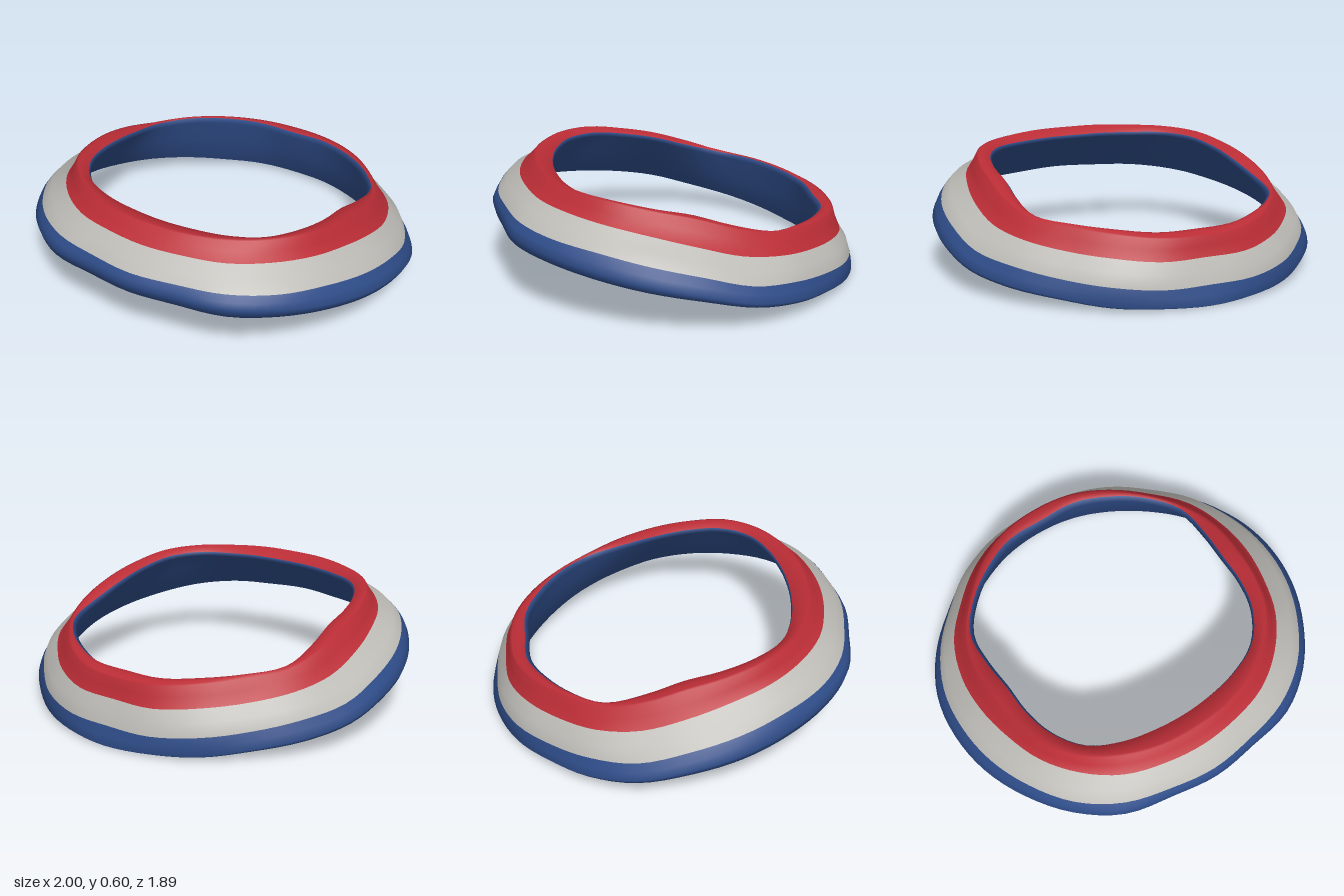
import * as THREE from 'three';

const SEGMENTS = 96;

// Values every 15 degrees, from the front (+z) round to the back (-z); both sides mirror.
const plan = {
  hem:    [.94, .94, .985, .995, .993, .998, 1.0, 1.0, .98, .955, .95, .95, .95],
  lower:  [.91, .91, .94, .955, .95, .95, .95, .955, .945, .93, .94, .935, .92],
  upper:  [.795, .80, .82, .825, .825, .815, .825, .845, .86, .855, .87, .88, .865],
  crest:  [.72, .73, .745, .765, .77, .755, .75, .775, .795, .80, .82, .84, .84],
  inner:  [.62, .63, .66, .695, .69, .665, .65, .685, .745, .75, .75, .755, .735],
};
const height = {
  hem:    [.335, .33, .32, .30, .265, .225, .18, .12, .08, .05, .02, .01, .002],
  lower:  [.435, .435, .425, .41, .385, .34, .285, .215, .18, .145, .12, .10, .10],
  upper:  [.525, .525, .515, .50, .475, .435, .385, .325, .29, .26, .24, .22, .22],
  crest:  [.60, .60, .595, .59, .575, .54, .50, .44, .385, .365, .345, .325, .32],
};

// Smooth lookup in a mirrored table; t runs 0 (front) to 12 (back)
function sample(table, t) {
  const at = (i) => table[i < 0 ? -i : i > 12 ? 24 - i : i];
  const i = Math.min(Math.floor(t), 11), f = t - i;
  const [a, b, c, d] = [at(i - 1), at(i), at(i + 1), at(i + 2)];
  return b + 0.5 * f * (c - a + f * (2 * a - 5 * b + 4 * c - d + f * (3 * (b - c) + d - a)));
}

// Closed cross-section [radius, y] at one angle, running up the outside and down the inside
function section(angle) {
  const t = 12 - Math.abs(12 - angle / (Math.PI / 12));
  const r = {}, y = {};
  for (const k in plan) r[k] = sample(plan[k], t);
  for (const k in height) y[k] = sample(height[k], t);
  const front = (1 + Math.cos(angle)) / 2, back = 1 - front;
  const lip = 0.045 * front + 0.006;
  const bulge = 0.008 + 0.012 * Math.sin(angle) ** 2;
  // The top edge tips inward at the front and rises inward at the back
  const rimR = r.inner + 0.004 + 0.02 * back;
  const rimY = y.crest - 0.035 * front + 0.014 * back;
  return [
    [r.hem * 0.875, y.hem + 0.02],
    [r.hem * 0.93, y.hem + 0.004],
    [r.hem - 0.012, y.hem],
    [r.hem, y.hem + lip],
    [r.lower * 0.4 + r.hem * 0.6, y.lower * 0.5 + (y.hem + lip) * 0.5],
    [r.lower, y.lower],
    [(r.lower + r.upper) / 2 + bulge, (y.lower + y.upper) / 2 + 0.005],
    [r.upper, y.upper],
    [(r.upper + r.crest) / 2 - 0.004, (y.upper + y.crest) / 2],
    [r.crest, y.crest - 0.003],
    [r.crest - 0.012, y.crest],
    [(r.crest + rimR) / 2, (y.crest + rimY) / 2 + 0.006],
    [rimR, rimY],
    [r.inner, rimY - 0.02],
    [r.inner * 0.5 + r.hem * 0.4375 + 0.02, y.crest * 0.5 + y.hem * 0.5],
  ];
}

export function createModel() {
  const blue = new THREE.MeshStandardMaterial({ color: 0x2e4c88 });
  const white = new THREE.MeshStandardMaterial({ color: 0xbdbbb6 });
  const red = new THREE.MeshStandardMaterial({ color: 0xbb2d36 });
  blue.name = 'blue';
  white.name = 'lightGrey';
  red.name = 'red';

  const positions = [];
  let count = 0;
  for (let s = 0; s < SEGMENTS; s++) {
    const angle = (s / SEGMENTS) * Math.PI * 2;
    const points = section(angle);
    count = points.length;
    for (const [r, y] of points) positions.push(r * Math.sin(angle), y, r * Math.cos(angle));
  }

  // One colour group per band: hem, middle stripe, rolled top edge, lining
  const geometry = new THREE.BufferGeometry();
  const indices = [];
  const bands = [[0, 5, 0], [5, 7, 1], [7, 12, 2], [12, count, 0]];
  for (const [from, to, material] of bands) {
    const start = indices.length;
    for (let p = from; p < to; p++) {
      const q = (p + 1) % count;
      for (let s = 0; s < SEGMENTS; s++) {
        const a = s * count, b = ((s + 1) % SEGMENTS) * count;
        indices.push(a + p, b + p, b + q, a + p, b + q, a + q);
      }
    }
    geometry.addGroup(start, indices.length - start, material);
  }
  geometry.setAttribute('position', new THREE.Float32BufferAttribute(positions, 3));
  geometry.setIndex(indices);
  geometry.computeVertexNormals();

  const collar = new THREE.Mesh(geometry, [blue, white, red]);
  collar.name = 'stripedCollar';
  const group = new THREE.Group();
  group.name = 'collar';
  group.add(collar);
  return group;
}
